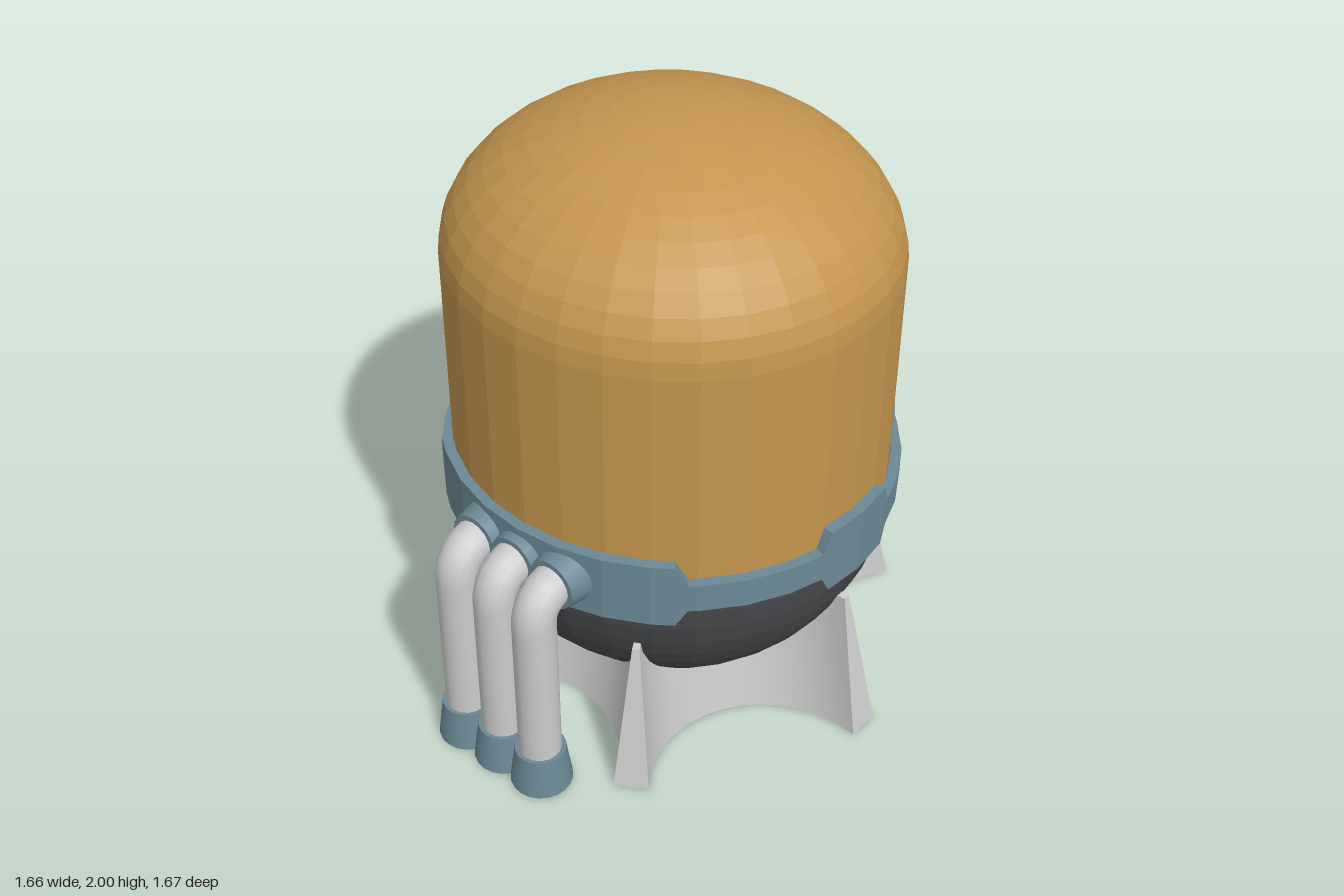
import * as THREE from 'three';
import { toCreasedNormals } from 'three/addons/utils/BufferGeometryUtils.js';

const rad = THREE.MathUtils.degToRad;
const mat = (color, flatShading = false) => new THREE.MeshStandardMaterial({ color, flatShading });
const gold = mat(0xc4954f, true), dark = mat(0x4a4b4e, true), blue = mat(0x6b8995);
const blueFlat = mat(0x6b8995, true), grey = mat(0xcccccc);

function add(parent, name, geometry, material, x = 0, y = 0, z = 0) {
  const mesh = new THREE.Mesh(geometry, material);
  mesh.name = name;
  mesh.position.set(x, y, z);
  parent.add(mesh);
  return mesh;
}

// Skin a series of closed rings; optionally loop round or cap the ends.
function loft(rings, { loop = false, caps = false } = {}) {
  const n = rings[0].length, m = rings.length, pos = rings.flat(2), index = [];
  for (let i = 0; i < (loop ? m : m - 1); i++) {
    for (let j = 0; j < n; j++) {
      const a = i * n + j, b = i * n + (j + 1) % n;
      const d = ((i + 1) % m) * n + j, c = ((i + 1) % m) * n + (j + 1) % n;
      index.push(a, d, c, a, c, b);
    }
  }
  if (caps) {
    const lo = n * m, hi = lo + 1, top = (m - 1) * n;
    pos.push(0, rings[0][0][1], 0, 0, rings[m - 1][0][1], 0);
    for (let j = 0; j < n; j++) {
      const k = (j + 1) % n;
      index.push(lo, j, k, hi, top + k, top + j);
    }
  }
  const g = new THREE.BufferGeometry();
  g.setAttribute('position', new THREE.Float32BufferAttribute(pos, 3));
  g.setIndex(index);
  g.computeVertexNormals();
  return g;
}

// Six-footed star outline: narrow flat feet joined by round scallops.
function starRing(y, radius, halfWidth, sag) {
  const ring = [], a = Math.atan2(halfWidth, radius), r = Math.hypot(radius, halfWidth);
  const chord = r * Math.sin(Math.PI / 6 - a), dist = r * Math.cos(Math.PI / 6 - a);
  const R = (chord * chord + sag * sag) / (2 * sag), T = Math.asin(chord / R), steps = 14;
  for (let k = 0; k < 6; k++) {
    const phi = rad(30 + 60 * k);
    for (let s = 0; s <= steps; s++) {
      const t = T * (2 * s / steps - 1);
      const u = dist - sag + R * (1 - Math.cos(t)), v = R * Math.sin(t);
      ring.push([u * Math.cos(phi) - v * Math.sin(phi), y, u * Math.sin(phi) + v * Math.cos(phi)]);
    }
  }
  return ring;
}

// Ring band that widens into tabs: [centre, half-angle at full height, half-angle at foot of slope].
function bandGeometry() {
  const tabs = [[0, 11, 13.4], [90, 39.5, 42.5], [180, 11, 13.4], [240, 11, 13.4], [300, 11, 13.4]];
  const angles = Array.from({ length: 32 }, (_, i) => i * 11.25);
  for (const [c, full, foot] of tabs) {
    for (const d of [-foot, -full, full, foot]) angles.push((c + d + 360) % 360);
  }
  angles.sort((a, b) => a - b);
  const rings = angles.map((deg) => {
    let t = 0;
    for (const [c, full, foot] of tabs) {
      const d = Math.abs((deg - c + 540) % 360 - 180);
      t = Math.max(t, THREE.MathUtils.clamp((foot - d) / (foot - full), 0, 1));
    }
    const top = 0.82 + 0.07 * t, low = 0.72 - 0.06 * t;
    const c = Math.cos(rad(deg)), s = Math.sin(rad(deg));
    return [[0.757, top], [0.757, low], [0.722, low], [0.722, top]].map(([r, y]) => [r * c, y, r * s]);
  });
  return loft(rings, { loop: true });
}

export function createModel() {
  const model = new THREE.Group();
  model.name = 'storageTank';

  // Vessel on its stand, slightly shallower than wide
  const vessel = new THREE.Group();
  vessel.name = 'vessel';
  vessel.position.z = -0.105;
  vessel.scale.z = 0.967;
  model.add(vessel);

  // Upper tank: straight wall and flattened dome
  const tank = [new THREE.Vector2(0.72, 0.74)];
  for (let i = 0; i <= 12; i++) {
    const a = i / 12 * Math.PI / 2;
    tank.push(new THREE.Vector2(i === 12 ? 0 : 0.72 * Math.cos(a), 1.55 + 0.45 * Math.sin(a)));
  }
  add(vessel, 'tankShell', new THREE.LatheGeometry(tank, 32), gold);

  // Lower bowl: half sphere closed in under the band
  const bowl = [];
  for (let i = 0; i <= 14; i++) {
    const a = i / 14 * Math.PI / 2;
    bowl.push(new THREE.Vector2(0.745 * Math.sin(a), 0.775 - 0.745 * Math.cos(a)));
  }
  bowl.push(new THREE.Vector2(0.70, 0.80));
  add(vessel, 'bowl', new THREE.LatheGeometry(bowl, 32), dark);

  add(vessel, 'band', bandGeometry(), blueFlat);

  // Scalloped stand tapering up to six narrow fins
  const stand = loft([starRing(0, 0.83, 0.058, 0.25), starRing(0.515, 0.725, 0.012, 0.24)], { caps: true });
  add(vessel, 'stand', toCreasedNormals(stand, 0.6), grey);

  // Three bent pipes at the front, each with a foot and a wall collar
  const V = (y, z) => new THREE.Vector3(0, y, z);
  const path = new THREE.CurvePath();
  path.add(new THREE.LineCurve3(V(0.1, 0.735), V(0.67, 0.735)));
  path.add(new THREE.QuadraticBezierCurve3(V(0.67, 0.735), V(0.775, 0.735), V(0.775, 0.63)));
  path.add(new THREE.LineCurve3(V(0.775, 0.63), V(0.775, 0.56)));
  const pipe = new THREE.TubeGeometry(path, 32, 0.069, 16);
  const foot = new THREE.CylinderGeometry(0.082, 0.101, 0.14, 20);
  const collar = new THREE.CylinderGeometry(0.085, 0.104, 0.105, 20).rotateX(Math.PI / 2);
  for (const x of [-0.16, 0, 0.16]) {
    add(model, 'pipe', pipe, grey, x);
    add(model, 'pipeFoot', foot, blue, x, 0.07, 0.734);
    add(model, 'pipeCollar', collar, blue, x, 0.775, 0.603);
  }
  return model;
}
